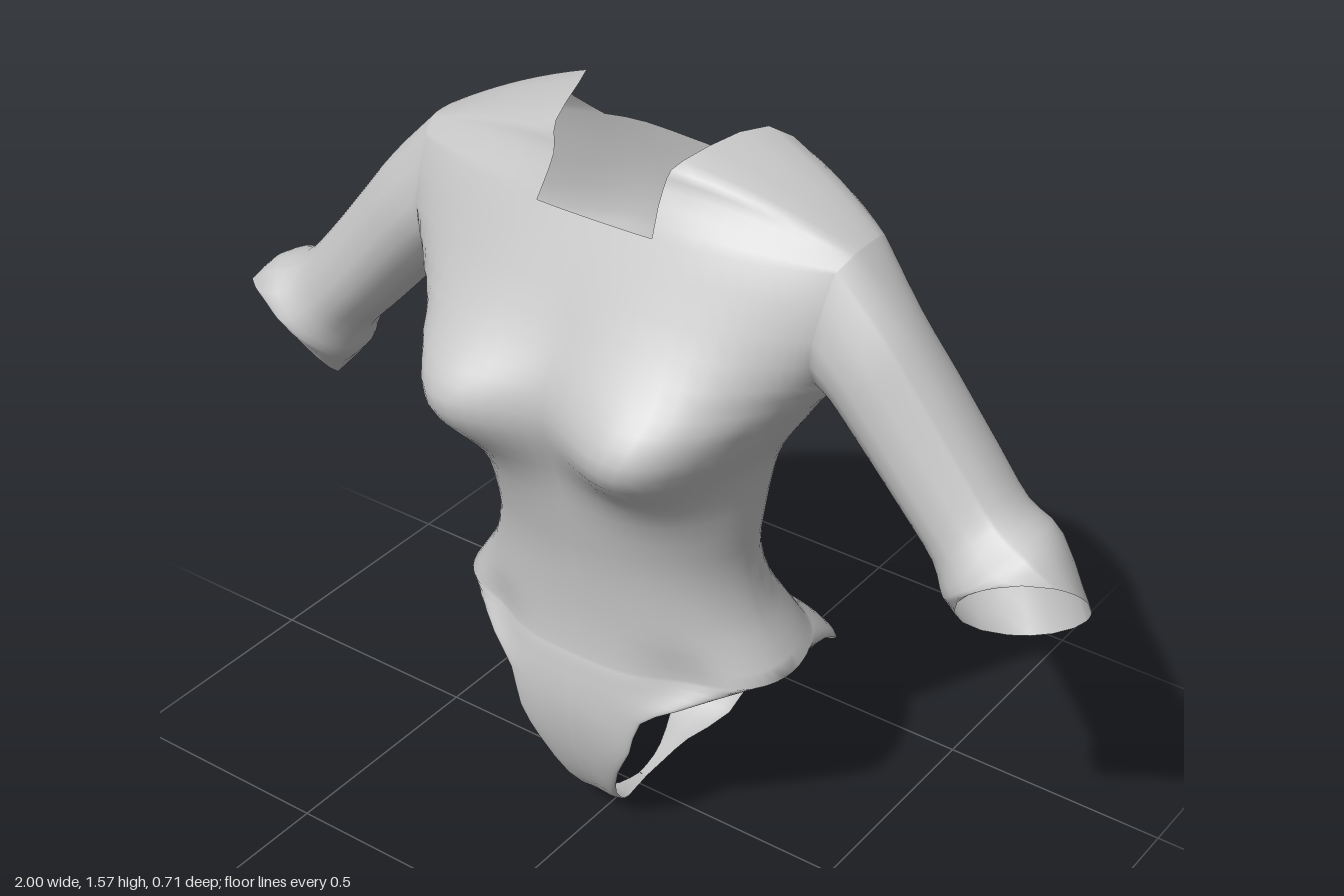
import * as THREE from 'three';
import { mergeVertices } from 'three/addons/utils/BufferGeometryUtils.js';

const N = 16;      // columns from the centre line to the side
const NECK = 4;    // column where the neckline meets the shoulder
const { lerp, clamp } = THREE.MathUtils;

// Catmull-Rom refinement of a list of equal-length number rows
function refine(rows, n) {
  const out = [], at = i => rows[clamp(i, 0, rows.length - 1)];
  for (let i = 0; i < rows.length - 1; i++) {
    for (let k = 0; k < n; k++) {
      const t = k / n;
      out.push(rows[i].map((b, c) => {
        const a = at(i - 1)[c], d = at(i + 1)[c], e = at(i + 2)[c];
        return b + 0.5 * t * (d - a + t * (2 * a - 5 * b + 4 * d - e + t * (3 * (b - d) + e - a)));
      }));
    }
  }
  out.push(rows[rows.length - 1]);
  return out;
}

// Soft swellings added to the basic oval: bust, hip hollows, shoulder blades, seat
function swell(front, x, y, t) {
  const g = (cx, cy, sx, sy) => Math.exp(-(((x - cx) / sx) ** 2) - ((y - cy) / sy) ** 2);
  const fade = 1 - t ** 8;
  if (front) return fade * (0.125 * g(0.25, 1.04, 0.19, 0.13) - 0.03 * g(0.24, 0.46, 0.08, 0.07));
  return -fade * (0.035 * g(0.2, 1.25, 0.13, 0.25) + 0.045 * g(0.2, 0.27, 0.13, 0.15));
}

// One half cross-section, centre to edge
function section(front, yc, zc, ex, ey, ez) {
  const k = clamp((yc - 1.1) / 0.32, 0, 1);
  const spacing = 1 + k * (front ? 0.33 : -0.35);
  const square = 2.6 + (front ? 0 : clamp((0.7 - yc) / 0.25, 0, 1) * 0.8);
  const round = 0.5 + 0.45 * clamp((yc - 1.13) / 0.17, 0, 1);
  return Array.from({ length: N + 1 }, (_, j) => {
    const t = j === N ? 1 : Math.sin((Math.PI / 2) * j / N) ** spacing;
    const x = ex * t, y = lerp(yc, ey, t * t);
    const z = ez + (zc - ez) * (1 - t ** square) ** round + swell(front, x, y, t);
    return [x, y, z];
  });
}

export function createModel() {
  const positions = [];

  // Adds a grid of points and its mirror image
  function addGrid(grid, flip) {
    for (const side of [1, -1]) {
      const push = (...tri) => tri.forEach(p => positions.push(p[0] * side, p[1], p[2]));
      for (let r = 0; r < grid.length - 1; r++) {
        for (let c = 0; c < grid[r].length - 1; c++) {
          const a = grid[r][c], b = grid[r][c + 1], d = grid[r + 1][c], e = grid[r + 1][c + 1];
          if (flip === (side > 0)) push(a, d, b, b, d, e);
          else push(a, b, d, b, e, d);
        }
      }
    }
  }

  // Torso: y, half width, front centre z, front side z, back centre z, back side z
  const body = refine([
    [0.47, 0.39, 0.205, 0, -0.235, 0],
    [0.53, 0.35, 0.20, 0.005, -0.21, 0.005],
    [0.6, 0.31, 0.20, 0.01, -0.18, 0.01],
    [0.7, 0.288, 0.207, 0.015, -0.16, 0.015],
    [0.8, 0.298, 0.225, 0.015, -0.163, 0.015],
    [0.9, 0.312, 0.24, 0.01, -0.178, 0.01],
    [0.97, 0.332, 0.255, 0, -0.2, 0],
    [1.04, 0.375, 0.27, -0.01, -0.222, -0.01],
    [1.1, 0.412, 0.272, -0.02, -0.24, -0.02],
    [1.15, 0.45, 0.262, -0.02, -0.252, -0.02],
    [1.2, 0.455, 0.243, 0.07, -0.26, -0.115],
    [1.3, 0.465, 0.197, 0.095, -0.262, -0.145],
    [1.42, 0.475, 0.132, 0.045, -0.25, -0.125],
  ], 2);
  const ARMPIT = 18;
  for (let i = 0; i <= ARMPIT; i++) body[i][5] = body[i][3];
  const front = body.map(([y, w, zf, zs]) => section(true, y, zf, w, y, zs));
  const back = body.map(([y, w, , , zb, zs]) => section(false, y, zb, w, y, zs));
  addGrid(front, false);
  addGrid(back, true);

  // Lower panels: centre y, centre z, then leg-opening edge x, y, z
  const frontLow = refine([
    [0.47, 0.205, 0.39, 0.47, 0],
    [0.455, 0.21, 0.315, 0.447, 0.105],
    [0.43, 0.215, 0.235, 0.41, 0.175],
    [0.39, 0.222, 0.165, 0.365, 0.207],
    [0.32, 0.226, 0.14, 0.28, 0.21],
    [0.22, 0.21, 0.1, 0.2, 0.195],
    [0.12, 0.17, 0.062, 0.1, 0.15],
    [0.045, 0.11, 0.042, 0.035, 0.09],
    [0.01, 0.05, 0.02, 0.006, 0.03],
    [0, -0.03, 0.01, 0, -0.03],
  ], 2);
  const backLow = refine([
    [0.47, -0.235, 0.39, 0.47, 0],
    [0.435, -0.258, 0.367, 0.458, -0.085],
    [0.395, -0.283, 0.345, 0.42, -0.195],
    [0.35, -0.3, 0.328, 0.37, -0.265],
    [0.29, -0.31, 0.25, 0.31, -0.3],
    [0.23, -0.31, 0.208, 0.25, -0.308],
    [0.16, -0.295, 0.128, 0.19, -0.297],
    [0.06, -0.25, 0.075, 0.065, -0.25],
    [0.025, -0.16, 0.03, 0.03, -0.155],
    [0.008, -0.09, 0.014, 0.008, -0.09],
    [0, -0.03, 0.01, 0, -0.03],
  ], 2);
  addGrid(frontLow.map(r => section(true, ...r)), true);
  addGrid(backLow.map(r => section(false, ...r)), false);

  // Shoulder caps: from the front neckline over the top to the back neckline
  const top = body.length - 1;
  const crest = [ // neck end, sleeve end
    [[0.125, 1.5, 0.085], [0.485, 1.437, 0.02]],
    [[0.145, 1.55, 0.05], [0.49, 1.448, -0.01]],
    [[0.21, 1.568, -0.13], [0.49, 1.448, -0.075]],
    [[0.31, 1.485, -0.185], [0.485, 1.437, -0.105]],
  ];
  const capColumns = [];
  for (let j = NECK; j <= N; j++) {
    const f = (front[top][j][0] - front[top][NECK][0]) / (front[top][N][0] - front[top][NECK][0]);
    const mids = crest.map(([a, b]) => a.map((v, k) => lerp(v, b[k], f)));
    mids.forEach(p => { p[1] += 0.04 * f * (1 - f); });
    capColumns.push(refine([front[top][j], ...mids, back[top][j]], 3));
  }
  addGrid(capColumns[0].map((_, r) => capColumns.map(c => c[r])), false);

  // Sleeves: start on the armhole loop and run to the flared, tilted cuff
  const loop = [
    ...front.slice(ARMPIT).map(r => r[N]),
    ...capColumns[capColumns.length - 1].slice(1, -1),
    ...back.slice(ARMPIT).map(r => r[N]).reverse(),
  ];
  const angles = loop.map(([x, y, z]) =>
    Math.atan2(z + 0.02, (x - 0.47) * 0.7 + (y - 1.3) * 0.7));
  const rings = [ // centre, upward radius, forward radius
    [[0.53, 1.24, -0.02], [0.064, 0.1, 0], [0, 0, 0.115]],
    [[0.6, 1.16, -0.02], [0.077, 0.077, 0], [0, 0, 0.115]],
    [[0.7, 1.045, -0.018], [0.075, 0.07, 0], [0, 0, 0.113]],
    [[0.775, 0.965, -0.01], [0.075, 0.07, 0], [0, 0, 0.11]],
    [[0.83, 0.913, 0], [0.1, 0.088, 0], [0, 0.015, 0.125]],
    [[0.89, 0.845, 0.02], [0.11, 0.06, -0.02], [-0.02, 0.1, 0.1]],
  ].map(([c, u, v]) => angles.flatMap(a =>
    c.map((p, k) => p + u[k] * Math.cos(a) + v[k] * Math.sin(a))));
  const sleeve = refine([loop.flat(), ...rings], 3)
    .map(r => loop.map((_, i) => r.slice(3 * i, 3 * i + 3)));
  addGrid(sleeve, true);

  // Weld everything so the cloth shades smoothly
  let geometry = new THREE.BufferGeometry();
  geometry.setAttribute('position', new THREE.Float32BufferAttribute(positions, 3));
  geometry = mergeVertices(geometry, 1e-4);
  geometry.computeVertexNormals();

  const cloth = new THREE.MeshStandardMaterial({ color: 0xc4c4c4, side: THREE.DoubleSide });
  cloth.name = 'grey cloth';
  const mesh = new THREE.Mesh(geometry, cloth);
  mesh.name = 'bodysuit';
  const group = new THREE.Group();
  group.name = 'longSleevedBodysuit';
  group.add(mesh);
  return group;
}
